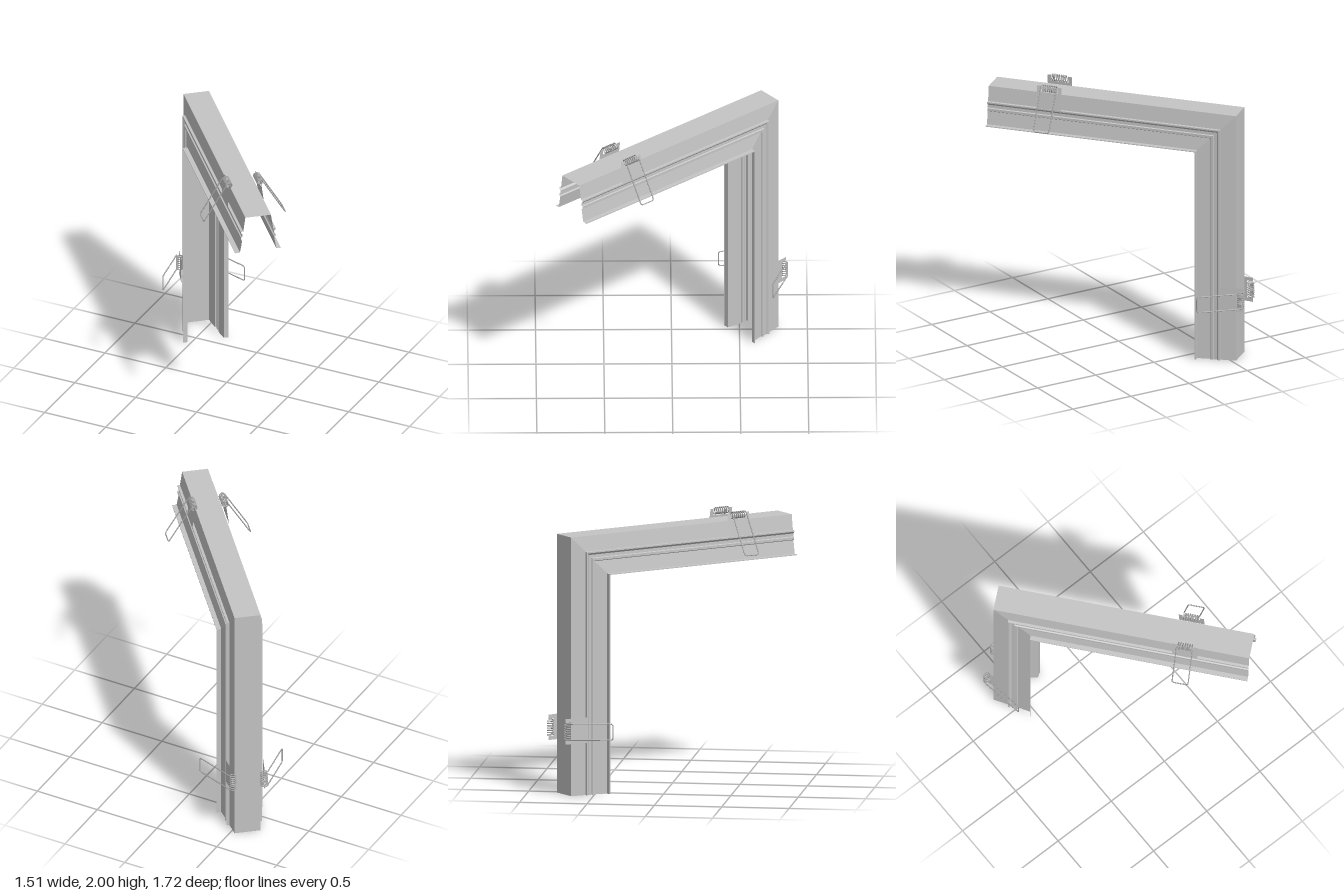
import * as THREE from 'three';

const HEIGHT = 1.93, CORNER = -0.945, LENGTH = 1.92;
const COS = Math.cos(THREE.MathUtils.degToRad(50)), SIN = Math.sin(THREE.MathUtils.degToRad(50));

// Channel half profile: [half width, depth from the closed face]
const HALF = [
  [0.097, 0], [0.113, 0.114], [0.132, 0.116], [0.132, 0.126], [0.12, 0.14],
  [0.121, 0.162], [0.131, 0.166], [0.131, 0.184], [0.121, 0.19],
  [0.138, 0.288], [0.172, 0.289], [0.172, 0.295],
];

// w across the channel, d depth, t distance from the corner along an arm
function place(arm, w, d, t) {
  const s = CORNER + (arm === 'bar' ? t : d);
  const y = HEIGHT - (arm === 'bar' ? d : t);
  return new THREE.Vector3(s * COS + w * SIN, y, s * SIN - w * COS);
}

// Flat-faced sheet between two rows of points
function strip(rowA, rowB) {
  const p = [];
  for (let i = 0; i < rowA.length - 1; i++) {
    const [a, b, c, d] = [rowA[i], rowA[i + 1], rowB[i + 1], rowB[i]];
    for (const v of [a, b, c, a, c, d]) p.push(v.x, v.y, v.z);
  }
  const g = new THREE.BufferGeometry();
  g.setAttribute('position', new THREE.Float32BufferAttribute(p, 3));
  g.computeVertexNormals();
  return g;
}

function addMesh(parent, name, geometry, material) {
  const mesh = new THREE.Mesh(geometry, material);
  mesh.name = name;
  parent.add(mesh);
}

function createClip(arm, side, bodyMat, wireMat) {
  const clip = new THREE.Group();
  clip.name = arm + (side > 0 ? 'RightClip' : 'LeftClip');
  const mid = 1.442, cw = 0.117, cd = -0.043, r = 0.023, wire = 0.0045;
  const at = (w, d, t) => place(arm, side * w, d, mid + t);

  // Bracket plate against the wall, with two ears holding the coil
  const plateRow = (d, t0, t1) => {
    const w = 0.117 + (d + 0.05) * 0.13;
    return [at(w, d, t0), at(w, d, t1)];
  };
  const pieces = [[-0.012, 0.112, -0.095, 0.095], [-0.06, -0.012, -0.095, -0.066], [-0.06, -0.012, 0.066, 0.095]];
  for (const [d0, d1, t0, t1] of pieces)
    addMesh(clip, 'bracketPlate', strip(plateRow(d0, t0, t1), plateRow(d1, t0, t1)), bodyMat);

  // Spring coil
  const coil = [], turns = 7, steps = 12;
  for (let i = 0; i <= turns * steps; i++) {
    const a = (i / steps) * Math.PI * 2;
    coil.push(at(cw + r * Math.cos(a), cd + r * Math.sin(a), -0.06 + 0.12 * i / (turns * steps)));
  }
  addMesh(clip, 'springCoil',
    new THREE.TubeGeometry(new THREE.CatmullRomCurve3(coil), turns * steps, wire, 6), wireMat);

  // Wire loop swinging outwards, with rounded corners
  const start = [cw + r * 0.8, cd - r * 0.5], tip = [0.309, 0.232];
  const along = (k, t) => at(start[0] + (tip[0] - start[0]) * k, start[1] + (tip[1] - start[1]) * k, t);
  const path = new THREE.CurvePath();
  path.add(new THREE.LineCurve3(along(0, -0.06), along(0.94, -0.06)));
  path.add(new THREE.QuadraticBezierCurve3(along(0.94, -0.06), along(1, -0.06), along(1, -0.042)));
  path.add(new THREE.LineCurve3(along(1, -0.042), along(1, 0.042)));
  path.add(new THREE.QuadraticBezierCurve3(along(1, 0.042), along(1, 0.06), along(0.94, 0.06)));
  path.add(new THREE.LineCurve3(along(0.94, 0.06), along(0, 0.06)));
  addMesh(clip, 'springLoop', new THREE.TubeGeometry(path, 90, wire, 6), wireMat);
  return clip;
}

export function createModel() {
  const model = new THREE.Group();
  model.name = 'cornerChannel';
  const bodyMat = new THREE.MeshStandardMaterial({ color: 0xc4c4c4, side: THREE.DoubleSide });
  bodyMat.name = 'light grey metal';
  const wireMat = new THREE.MeshStandardMaterial({ color: 0xa8a8a8 });
  wireMat.name = 'spring grey';

  // Two mitred arms of the open channel
  const profile = [...HALF.map(([w, d]) => [-w, d]).reverse(), ...HALF];
  for (const [arm, end] of [['bar', LENGTH], ['leg', HEIGHT]]) {
    const mitre = profile.map(([w, d]) => place(arm, w, d, d));
    const tail = profile.map(([w, d]) => place(arm, w, d, end));
    addMesh(model, arm + 'Channel', strip(mitre, tail), bodyMat);
    for (const side of [-1, 1]) model.add(createClip(arm, side, bodyMat, wireMat));
  }
  return model;
}
